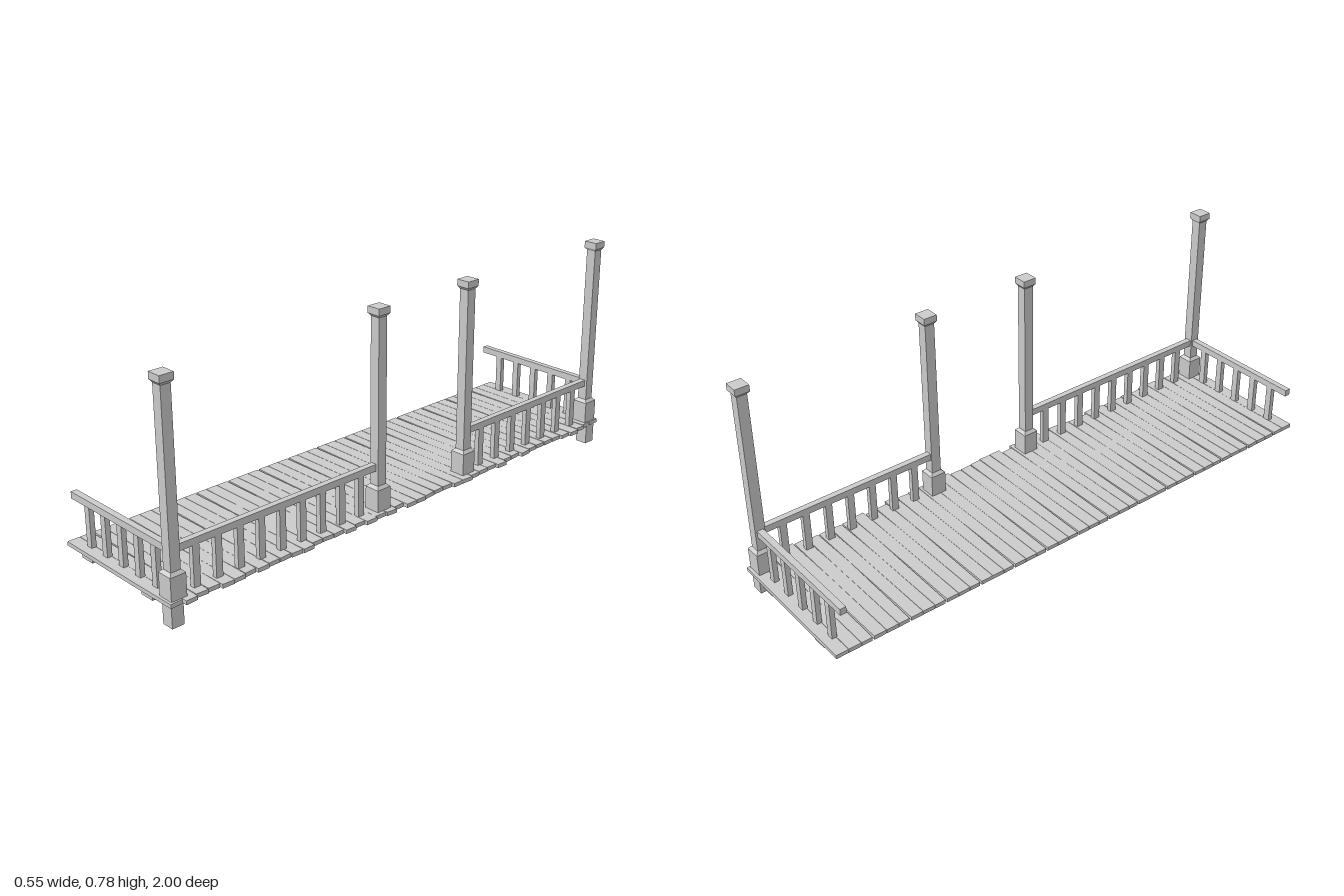
import * as THREE from 'three';

const material = new THREE.MeshStandardMaterial({ color: 0xcccccc, flatShading: true });

function add(parent, name, geometry, x, y, z) {
  const mesh = new THREE.Mesh(geometry, material);
  mesh.name = name;
  mesh.position.set(x, y, z);
  parent.add(mesh);
  return mesh;
}

// Box given by its centre in x and z, and its bottom and top heights
function block(parent, name, x, z, y0, y1, w, d) {
  return add(parent, name, new THREE.BoxGeometry(w, y1 - y0, d), x, (y0 + y1) / 2, z);
}

// Square frustum between two widths
function taper(parent, name, x, z, y0, y1, w0, w1) {
  const g = new THREE.CylinderGeometry(w1 * Math.SQRT1_2, w0 * Math.SQRT1_2, y1 - y0, 4);
  g.rotateY(Math.PI / 4);
  return add(parent, name, g, x, (y0 + y1) / 2, z);
}

function makeRandom(seed) {
  return () => {
    seed = (seed * 16807) % 2147483647;
    return seed / 2147483647;
  };
}

const DECK_BOTTOM = 0.072, DECK_TOP = 0.086, POST_X = 0.223;
const RAIL_BOTTOM = 0.226, RAIL_TOP = 0.25, BACK = -0.278;

// Uneven planks: gaps open towards the back, ends are ragged at the front
function makeDeck() {
  const deck = new THREE.Group();
  deck.name = 'deck';
  const random = makeRandom(77);
  const count = 44, pitch = 2 / count;
  for (let i = 0; i < count; i++) {
    const z0 = -1 + i * pitch, z1 = z0 + pitch;
    const wide = i % 3 === 2 ? 0.007 : 0.0015;
    const end = 0.258 + random() * 0.016;
    const slit = 0.0005 + random() * 0.003;
    const mid = 0.02 + random() * 0.15;
    const shape = new THREE.Shape();
    shape.moveTo(BACK, -z0);
    shape.lineTo(BACK, -(z1 - wide));
    shape.lineTo(mid, -(z1 - 0.0004));
    shape.lineTo(end, -(z1 - slit));
    shape.lineTo(end - 0.003 + random() * 0.006, -(z0 + slit * 0.4));
    shape.lineTo(mid, -z0);
    const g = new THREE.ExtrudeGeometry(shape, { depth: DECK_TOP - DECK_BOTTOM, bevelEnabled: false });
    g.rotateX(-Math.PI / 2);
    add(deck, 'plank', g, 0, DECK_BOTTOM, 0);
  }
  // Two long bearers under the planks
  for (const x of [-0.174, 0.138]) block(deck, 'joist', x, 0, 0.058, DECK_BOTTOM, 0.054, 1.99);
  return deck;
}

function makePost(z) {
  const post = new THREE.Group();
  post.name = 'post';
  block(post, 'postBase', POST_X, z, DECK_BOTTOM, 0.164, 0.057, 0.057);
  taper(post, 'postBaseBevel', POST_X, z, 0.164, 0.174, 0.057, 0.037);
  block(post, 'postShaft', POST_X, z, 0.17, 0.755, 0.036, 0.036);
  taper(post, 'capBevel', POST_X, z, 0.749, 0.758, 0.036, 0.05);
  block(post, 'cap', POST_X, z, 0.758, 0.781, 0.05, 0.05);
  return post;
}

// Railing along z between two posts
function makeFrontRailing(zA, zB, count) {
  const railing = new THREE.Group();
  railing.name = 'frontRailing';
  const step = (zB - zA) / (count + 1);
  block(railing, 'handrail', 0.221, (zA + zB) / 2, RAIL_BOTTOM, RAIL_TOP, 0.022, Math.abs(zB - zA));
  for (let i = 1; i <= count; i++) {
    block(railing, 'baluster', 0.221, zA + step * i, DECK_BOTTOM, RAIL_BOTTOM, 0.018, 0.025);
  }
  return railing;
}

// Railing along x at an end of the deck
function makeEndRailing(z) {
  const railing = new THREE.Group();
  railing.name = 'endRailing';
  block(railing, 'handrail', (BACK + POST_X) / 2, z, RAIL_BOTTOM, RAIL_TOP, POST_X - BACK, 0.022);
  for (let i = 0; i < 5; i++) {
    block(railing, 'baluster', -0.197 + i * 0.0855, z, DECK_BOTTOM, RAIL_BOTTOM, 0.024, 0.018);
  }
  return railing;
}

export function createModel() {
  const model = new THREE.Group();
  model.name = 'porch';
  model.add(makeDeck());
  const posts = [0.961, 0.131, -0.28, -0.961];
  for (const z of posts) model.add(makePost(z));
  model.add(makeFrontRailing(posts[0], posts[1], 9));
  model.add(makeFrontRailing(posts[3], posts[2], 7));
  for (const z of [posts[0], posts[3]]) model.add(makeEndRailing(z));
  // Ground legs below the corner posts
  for (const z of [0.971, -0.963]) block(model, 'leg', 0.232, z, 0, DECK_BOTTOM + 0.004, 0.044, 0.044);
  return model;
}
